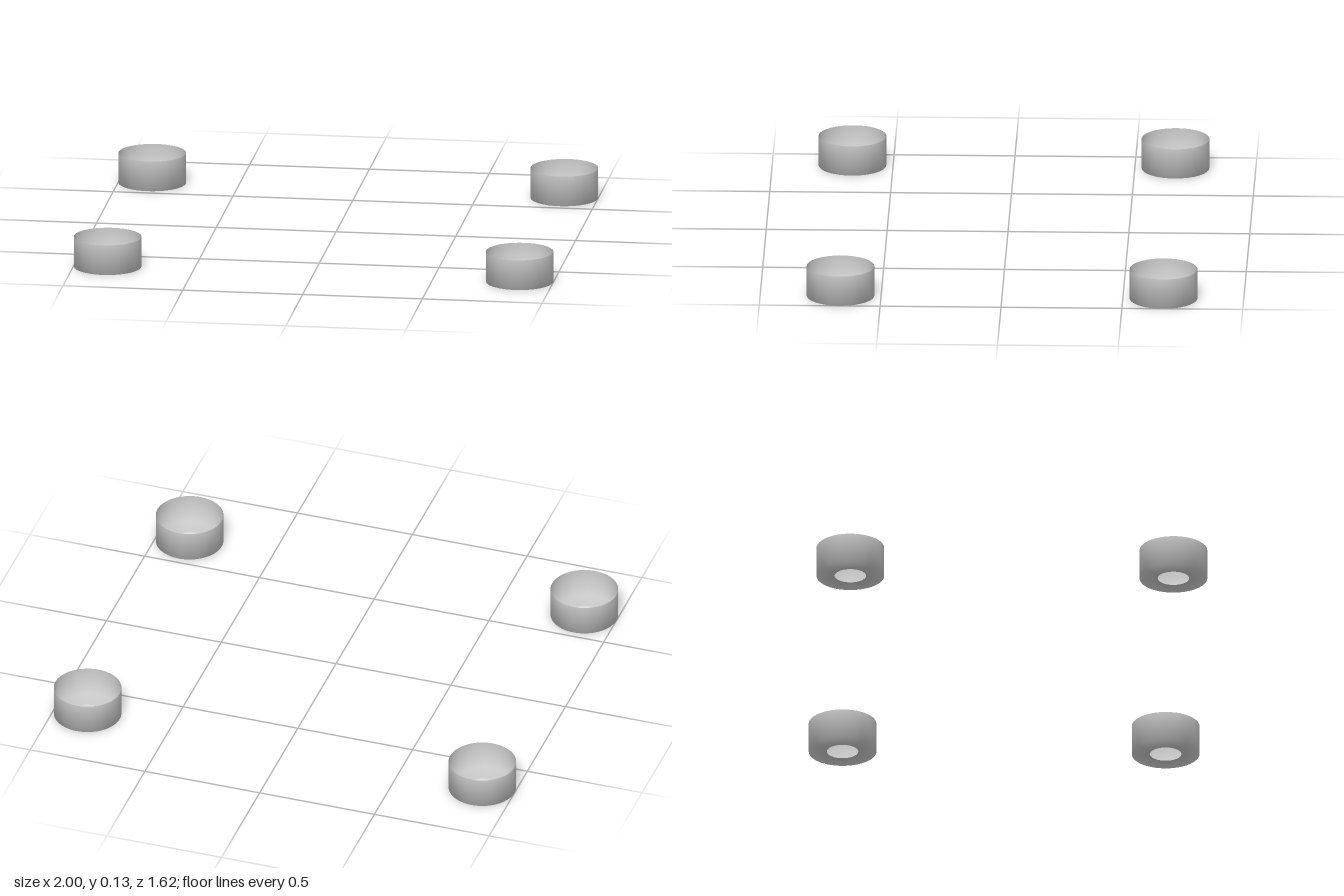
import * as THREE from 'three';

const RADIUS = 0.14, HOLE = 0.065, HEIGHT = 0.127;
const CENTRE_X = 0.86, CENTRE_Z = 0.668;

export function createModel() {
  const model = new THREE.Group();
  model.name = 'footCups';

  const material = new THREE.MeshStandardMaterial({ color: 0xcccccc, side: THREE.DoubleSide });

  // Thin open cup: flat base ring with a round hole, then a straight wall.
  // The lathe blends the normals over the lower edge.
  const profile = [
    new THREE.Vector2(HOLE, 0),
    new THREE.Vector2(RADIUS, 0),
    new THREE.Vector2(RADIUS, HEIGHT),
  ];
  const cupGeometry = new THREE.LatheGeometry(profile, 64);

  // One cup at each corner
  for (const [sideName, sx] of [['Left', 1], ['Right', -1]]) {
    for (const [endName, sz] of [['front', 1], ['back', -1]]) {
      const cup = new THREE.Mesh(cupGeometry, material);
      cup.name = `${endName}${sideName}Cup`;
      cup.position.set(sx * CENTRE_X, 0, sz * CENTRE_Z);
      model.add(cup);
    }
  }
  return model;
}
